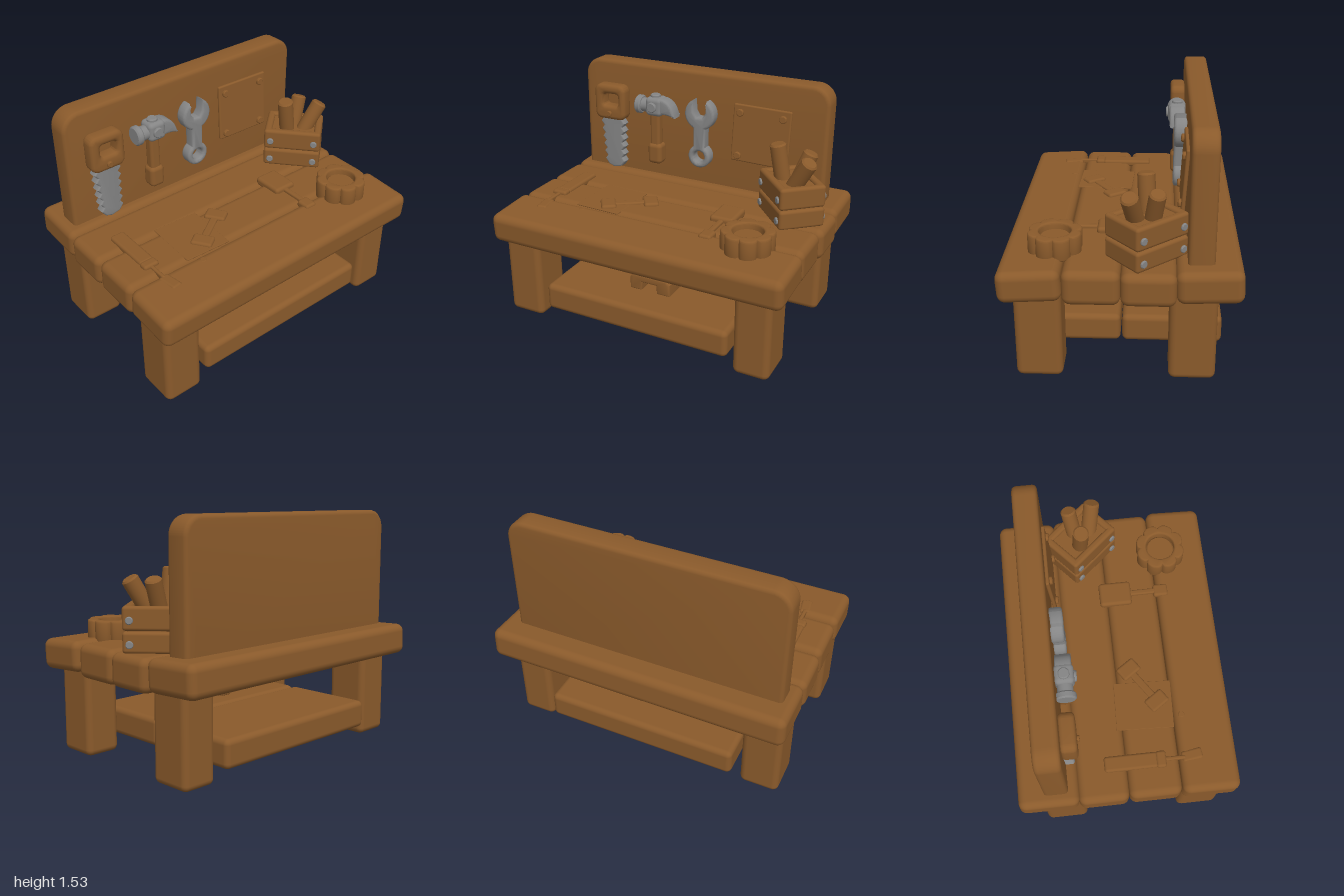
import * as THREE from 'three';
import { toCreasedNormals } from 'three/addons/utils/BufferGeometryUtils.js';
import { RoundedBoxGeometry } from 'three/addons/geometries/RoundedBoxGeometry.js';

const wood = new THREE.MeshStandardMaterial({ color: 0x8a5a2b });
wood.name = 'wood';
const steel = new THREE.MeshStandardMaterial({ color: 0x858585 });
steel.name = 'steel';

function add(parent, name, geometry, material = wood) {
  const mesh = new THREE.Mesh(geometry, material);
  mesh.name = name;
  parent.add(mesh);
  return mesh;
}

// Rounded block given by its ranges on x, y and z
function block(parent, name, [x0, x1], [y0, y1], [z0, z1], r, material = wood) {
  const w = x1 - x0, h = y1 - y0, d = z1 - z0;
  const radius = Math.min(r, w * 0.49, h * 0.49, d * 0.49);
  const mesh = add(parent, name, new RoundedBoxGeometry(w, h, d, 3, radius), material);
  mesh.position.set((x0 + x1) / 2, (y0 + y1) / 2, (z0 + z1) / 2);
  return mesh;
}

// Softly bevelled plate cut from an outline, from z0 to z1
function plate(parent, name, shape, z0, z1, bevel, material = wood) {
  const geo = new THREE.ExtrudeGeometry(shape, {
    depth: z1 - z0 - 2 * bevel, curveSegments: 16,
    bevelSize: bevel, bevelThickness: bevel, bevelOffset: -bevel, bevelSegments: 3,
  });
  geo.translate(0, 0, z0 + bevel);
  return add(parent, name, toCreasedNormals(geo, 0.7), material);
}

function roundedRect(Type, x0, x1, y0, y1, r) {
  const s = new Type();
  s.moveTo(x0 + r, y0);
  s.lineTo(x1 - r, y0).absarc(x1 - r, y0 + r, r, -Math.PI / 2, 0);
  s.lineTo(x1, y1 - r).absarc(x1 - r, y1 - r, r, 0, Math.PI / 2);
  s.lineTo(x0 + r, y1).absarc(x0 + r, y1 - r, r, Math.PI / 2, Math.PI);
  s.lineTo(x0, y0 + r).absarc(x0 + r, y0 + r, r, Math.PI, Math.PI * 1.5);
  return s;
}

// Round bar with chamfered ends between two points
function rod(parent, name, a, b, r, material = wood) {
  const from = new THREE.Vector3(...a), dir = new THREE.Vector3(...b).sub(from);
  const L = dir.length(), c = Math.min(r, L) * 0.2;
  const profile = [[0, 0], [r - c, 0], [r, c], [r, L - c], [r - c, L], [0, L]]
    .map(([x, y]) => new THREE.Vector2(x, y));
  const mesh = add(parent, name, toCreasedNormals(new THREE.LatheGeometry(profile, 20), 0.6), material);
  mesh.position.copy(from);
  mesh.quaternion.setFromUnitVectors(new THREE.Vector3(0, 1, 0), dir.normalize());
  return mesh;
}

function buildBench(g) {
  const top = new THREE.Group();
  top.name = 'tabletop';
  g.add(top);
  // z range, y range and tilt of each plank
  [[0.335, 0.705, 0.545, 0.74, 0.06], [0, 0.335, 0.527, 0.742, 0],
   [-0.32, 0, 0.53, 0.738, 0], [-0.7, -0.315, 0.55, 0.752, 0.04]].forEach(([z0, z1, y0, y1, tilt], i) => {
    const plank = block(top, 'tabletopPlank', [-1 + (i % 2) * 0.004, 1 - (i % 2) * 0.012], [y0, y1], [z0, z1], 0.05);
    plank.rotation.x = tilt;
  });
  for (const z of [[0.345, 0.625], [-0.56, -0.28]]) {
    block(g, 'leg', [-0.955, -0.7], [0, 0.6], z, 0.04);
    block(g, 'leg', [0.68, 0.915], [0, 0.6], z, 0.04);
  }
  for (const z of [[0.015, 0.62], [-0.61, 0.005]]) {
    block(g, 'lowerShelfPlank', [-0.655, 0.64], [0.08, 0.26], z, 0.035);
  }
  // Arched block on the shelf
  const arch = new THREE.Shape();
  arch.moveTo(-0.145, 0.255);
  [[-0.06, 0.255], [-0.055, 0.315], [0.045, 0.315], [0.05, 0.255], [0.145, 0.255],
   [0.145, 0.34], [0.12, 0.367], [-0.12, 0.367], [-0.145, 0.34]].forEach(p => arch.lineTo(...p));
  plate(g, 'shelfArch', arch, 0.15, 0.4, 0.015);

  const board = roundedRect(THREE.Shape, -0.925, 0.875, 0.62, 1.53, 0.12);
  plate(g, 'backboard', board, -0.535, -0.38, 0.025);
}

function buildSaw(g) {
  const handle = roundedRect(THREE.Shape, -0.805, -0.565, 1.125, 1.375, 0.05);
  handle.holes.push(roundedRect(THREE.Path, -0.735, -0.62, 1.225, 1.31, 0.02));
  plate(g, 'sawHandle', handle, -0.385, -0.285, 0.025);
  rod(g, 'sawRivet', [-0.685, 1.17, -0.3], [-0.685, 1.17, -0.27], 0.02);
  // Toothed blade narrowing downwards
  const teeth = 6, left = [], right = [];
  for (let i = 0; i <= teeth * 2; i++) {
    const t = i / (teeth * 2), y = 1.15 - t * 0.34, notch = (i % 2) * 0.022;
    left.push(new THREE.Vector2(-0.785 + t * 0.03 + notch, y));
    right.push(new THREE.Vector2(-0.585 - t * 0.005 - notch, y));
  }
  const tip = [[-0.725, 0.77], [-0.68, 0.755], [-0.62, 0.77]].map(p => new THREE.Vector2(...p));
  plate(g, 'sawBlade', new THREE.Shape([...left, ...tip, ...right.reverse()]), -0.385, -0.32, 0.012, steel);
}

function buildHammer(g) {
  const z = -0.325;
  block(g, 'hammerGrip', [-0.385, -0.28], [0.85, 1.0], [-0.385, -0.285], 0.03);
  block(g, 'hammerHandle', [-0.37, -0.297], [0.97, 1.23], [-0.37, -0.3], 0.02);
  block(g, 'hammerHead', [-0.39, -0.265], [1.205, 1.335], [-0.385, -0.265], 0.03, steel);
  rod(g, 'hammerNeck', [-0.45, 1.265, z], [-0.36, 1.265, z], 0.048, steel);
  rod(g, 'hammerFace', [-0.475, 1.265, z], [-0.43, 1.265, z], 0.064, steel);
  rod(g, 'hammerCap', [-0.333, 1.32, z], [-0.333, 1.352, z], 0.035, steel);
  rod(g, 'hammerBoss', [-0.333, 1.27, -0.28], [-0.333, 1.27, -0.25], 0.035, steel);
  const claw = new THREE.Shape();
  claw.moveTo(-0.29, 1.33);
  claw.quadraticCurveTo(-0.19, 1.33, -0.17, 1.205);
  claw.quadraticCurveTo(-0.22, 1.23, -0.29, 1.22);
  plate(g, 'hammerClaw', claw, -0.375, -0.275, 0.015, steel);
}

function buildWrench(g) {
  const rad = THREE.MathUtils.degToRad;
  const s = new THREE.Shape();
  s.absarc(0.005, 1.255, 0.108, rad(117), rad(246));
  s.absarc(0.005, 0.957, 0.08, rad(122), rad(418));
  s.absarc(0.005, 1.255, 0.108, rad(-66), rad(63));
  [[0.048, 1.27], [0.025, 1.235], [-0.015, 1.235], [-0.038, 1.27]].forEach(p => s.lineTo(...p));
  s.holes.push(new THREE.Path().absarc(0.005, 0.957, 0.04, 0, Math.PI * 2, true));
  plate(g, 'wrench', s, -0.385, -0.3, 0.018, steel);
}

function buildNotice(g) {
  const notice = new THREE.Group();
  notice.name = 'noticePanel';
  notice.position.set(0.43, 1.157, -0.36);
  notice.rotation.set(-0.06, 0, -0.015);
  g.add(notice);
  block(notice, 'panelSheet', [-0.2, 0.203], [-0.195, 0.195], [-0.012, 0.012], 0.01);
  for (const x of [-0.15, 0.15]) for (const y of [-0.155, 0.14]) {
    rod(notice, 'panelPeg', [x, y, 0], [x, y, 0.03], 0.025);
  }
}

function buildCrate(g) {
  const crate = new THREE.Group();
  crate.name = 'crate';
  crate.position.set(0.735, 0, -0.143);
  crate.rotation.y = -0.848;
  g.add(crate);
  block(crate, 'crateFilling', [-0.17, 0.17], [0.73, 0.99], [-0.12, 0.12], 0.01);
  for (const [y0, y1] of [[0.735, 0.862], [0.867, 1.01]]) {
    for (const s of [-1, 1]) {
      block(crate, 'crateSideSlat', [-0.195, 0.195], [y0, y1], [s * 0.125 - 0.025, s * 0.125 + 0.025], 0.02);
      block(crate, 'crateEndSlat', [s * 0.17 - 0.025, s * 0.17 + 0.025], [y0, y1], [-0.148, 0.148], 0.02);
      for (const x of [-0.15, 0.15]) {
        const y = (y0 + y1) / 2 - 0.01;
        rod(crate, 'crateNail', [x, y, s * 0.14], [x, y, s * 0.162], 0.023, steel);
      }
    }
  }
  // Bars standing in the crate
  rod(g, 'crateBar', [0.68, 0.92, -0.15], [0.63, 1.215, -0.135], 0.052);
  rod(g, 'crateBar', [0.74, 0.92, -0.17], [0.83, 1.165, -0.205], 0.05);
  rod(g, 'crateBar', [0.74, 0.92, -0.09], [0.875, 1.16, -0.045], 0.052);
}

function buildTableItems(g) {
  // Scalloped dish
  const rim = new THREE.Shape();
  for (let i = 0; i < 96; i++) {
    const a = i / 96 * Math.PI * 2, r = 0.138 + 0.027 * Math.sqrt(Math.abs(Math.sin(a * 4)));
    rim[i ? 'lineTo' : 'moveTo'](r * Math.cos(a), r * Math.sin(a));
  }
  rim.holes.push(new THREE.Path().absarc(0, 0, 0.095, 0, Math.PI * 2, true));
  const dish = plate(g, 'dishRim', rim, 0, 0.135, 0.012);
  dish.rotation.x = -Math.PI / 2;
  dish.position.set(0.665, 0.722, 0.395);
  rod(g, 'dishFloor', [0.665, 0.72, 0.395], [0.665, 0.82, 0.395], 0.105);

  // Chisel
  block(g, 'chiselGrip', [-0.82, -0.72], [0.715, 0.762], [-0.14, 0.2], 0.018);
  block(g, 'chiselCollar', [-0.825, -0.718], [0.715, 0.766], [0.19, 0.255], 0.018);
  block(g, 'chiselStem', [-0.785, -0.76], [0.72, 0.755], [0.24, 0.38], 0.01);
  block(g, 'chiselTip', [-0.8, -0.725], [0.71, 0.752], [0.355, 0.49], 0.018).rotation.y = 0.15;

  // Double-ended tool lying at an angle
  const tool = new THREE.Group();
  tool.name = 'doubleEndedTool';
  tool.position.set(-0.27, 0, 0.165);
  tool.rotation.y = 0.6;
  g.add(tool);
  block(tool, 'toolBar', [-0.13, 0.13], [0.725, 0.755], [-0.025, 0.025], 0.012);
  for (const s of [-1, 1]) {
    block(tool, 'toolEnd', [s * 0.14 - 0.05, s * 0.14 + 0.05], [0.72, 0.762], [-0.07, 0.07], 0.018);
  }

  // Mallet
  block(g, 'malletHead', [0.305, 0.47], [0.715, 0.776], [-0.05, 0.165], 0.022);
  block(g, 'malletHandle', [0.368, 0.405], [0.72, 0.762], [0.15, 0.35], 0.012);
  block(g, 'malletKnob', [0.345, 0.43], [0.715, 0.764], [0.315, 0.415], 0.018);

  // Loose sheet and chip
  block(g, 'looseSheet', [-0.565, -0.25], [0.735, 0.744], [-0.03, 0.34], 0.003).rotation.y = -0.04;
  rod(g, 'woodChip', [-0.495, 0.72, 0.39], [-0.495, 0.75, 0.39], 0.022);
}

export function createModel() {
  const g = new THREE.Group();
  g.name = 'workbench';
  [buildBench, buildSaw, buildHammer, buildWrench, buildNotice, buildCrate, buildTableItems].forEach(build => build(g));
  return g;
}
